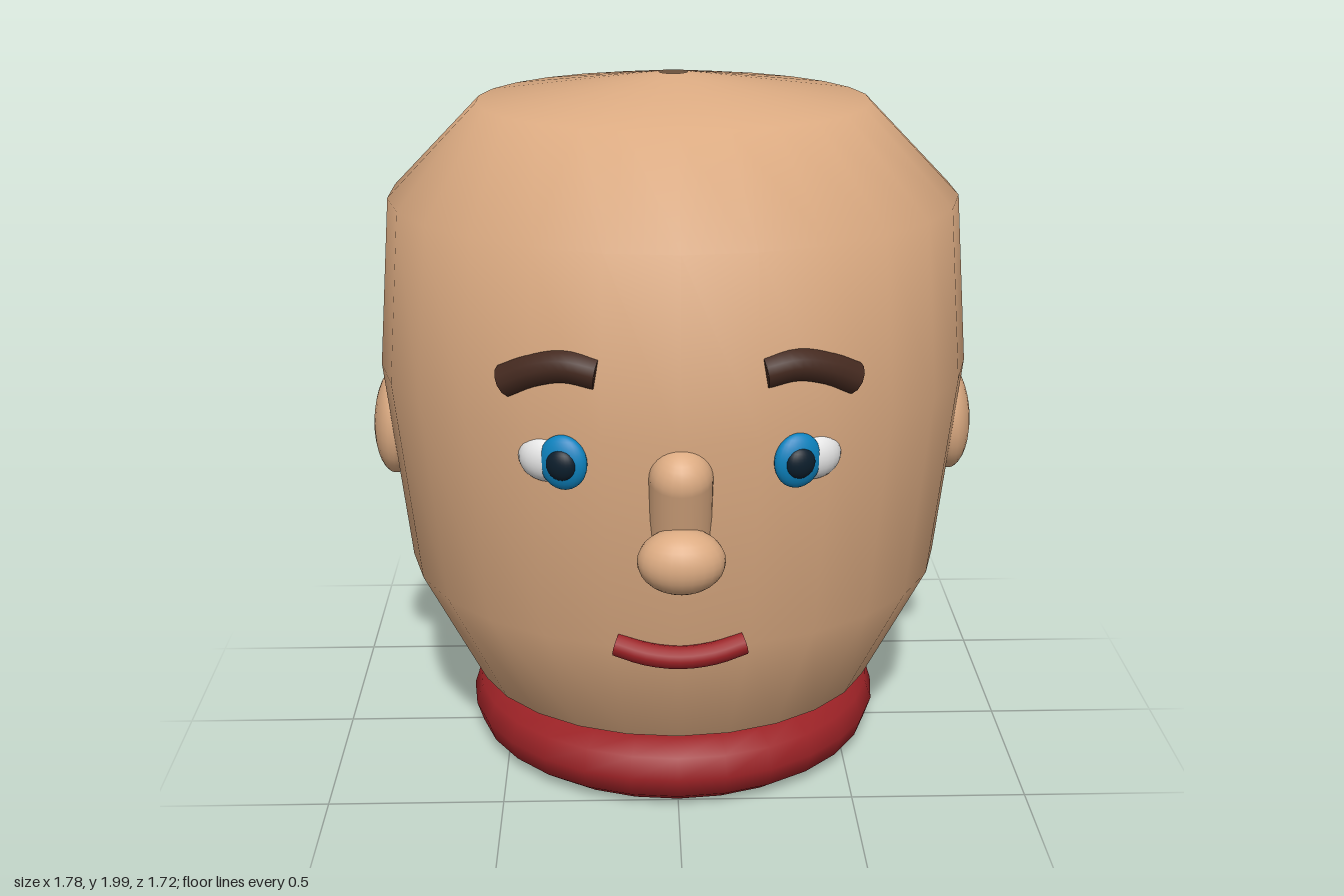
import * as THREE from 'three';

const mat = (name, color, side = THREE.FrontSide) => {
  const m = new THREE.MeshStandardMaterial({ color, side });
  m.name = name;
  return m;
};

export function createModel() {
  const model = new THREE.Group();
  model.name = 'head';
  const skin = mat('skin', 0xdcab82, THREE.DoubleSide);
  const red = mat('red', 0x9c2226);
  const brown = mat('brown', 0x452a20);
  const white = mat('white', 0xe6e6e6);
  const blue = mat('blue', 0x0d82be);
  const dark = mat('dark', 0x0c1e2c);

  const add = (name, geometry, material, parent = model) => {
    const mesh = new THREE.Mesh(geometry, material);
    mesh.name = name;
    parent.add(mesh);
    return mesh;
  };
  const ellipsoid = (name, material, pos, size, rotY = 0, rotZ = 0) => {
    const mesh = add(name, new THREE.SphereGeometry(1, 24, 16), material);
    mesh.position.set(...pos);
    mesh.scale.set(...size);
    mesh.rotation.set(0, rotY, rotZ);
    return mesh;
  };
  // Round bar along a curve, closed with flat discs
  const bar = (name, points, radius, material) => {
    const group = new THREE.Group();
    group.name = name;
    model.add(group);
    const curve = new THREE.CatmullRomCurve3(points.map((p) => new THREE.Vector3(...p)));
    add(name + 'Bar', new THREE.TubeGeometry(curve, 12, radius, 12), material, group);
    for (const t of [0, 1]) {
      const cap = add(name + 'End', new THREE.CircleGeometry(radius, 12), material, group);
      const dir = curve.getTangent(t).multiplyScalar(t ? 1 : -1);
      cap.position.copy(curve.getPoint(t));
      cap.quaternion.setFromUnitVectors(new THREE.Vector3(0, 0, 1), dir);
    }
  };

  // Skull: a slightly flattened lathe with small openings at both ends
  const profile = [
    [0.075, 0.12], [0.54, 0.2], [0.605, 0.22], [0.785, 0.58],
    [0.85, 1.18], [0.81, 1.665], [0.555, 1.925], [0.04, 2],
  ].map(([x, y]) => new THREE.Vector2(x, y));
  const skull = add('skull', new THREE.LatheGeometry(profile, 26), skin);
  skull.scale.z = 0.948;
  skull.position.z = -0.055;

  // Neck ring
  const ring = add('neckRing', new THREE.TorusGeometry(0.516, 0.103, 10, 28), red);
  ring.rotation.x = Math.PI / 2;
  ring.position.set(0, 0.103, -0.052);

  // Nose: leaning bridge and round tip
  const bridge = add('noseBridge', new THREE.CapsuleGeometry(0.084, 0.2, 8, 20), skin);
  bridge.position.set(0, 0.985, 0.698);
  bridge.rotation.x = 0.28;
  ellipsoid('noseTip', skin, [0, 0.872, 0.775], [0.115, 0.088, 0.085]);

  // Mouth
  bar('mouth', [
    [-0.172, 0.588, 0.675], [-0.09, 0.568, 0.695], [0, 0.56, 0.702],
    [0.09, 0.568, 0.695], [0.172, 0.588, 0.675],
  ], 0.031, red);

  // Paired features
  for (const [side, s] of [['left', 1], ['right', -1]]) {
    ellipsoid(side + 'Ear', skin, [s * 0.822, 0.965, -0.09], [0.07, 0.166, 0.128], 0, s * 0.06);
    ellipsoid(side + 'Eyeball', white, [s * 0.345, 1.115, 0.648], [0.078, 0.066, 0.052], s * 0.35);
    ellipsoid(side + 'Iris', blue, [s * 0.302, 1.117, 0.697], [0.066, 0.074, 0.032], s * 0.35);
    ellipsoid(side + 'Pupil', dark, [s * 0.306, 1.117, 0.714], [0.042, 0.043, 0.026], s * 0.35);
    bar(side + 'Eyebrow', [
      [s * 0.21, 1.355, 0.688], [s * 0.29, 1.368, 0.668],
      [s * 0.37, 1.35, 0.638], [s * 0.45, 1.308, 0.598],
    ], 0.045, brown);
  }
  return model;
}
